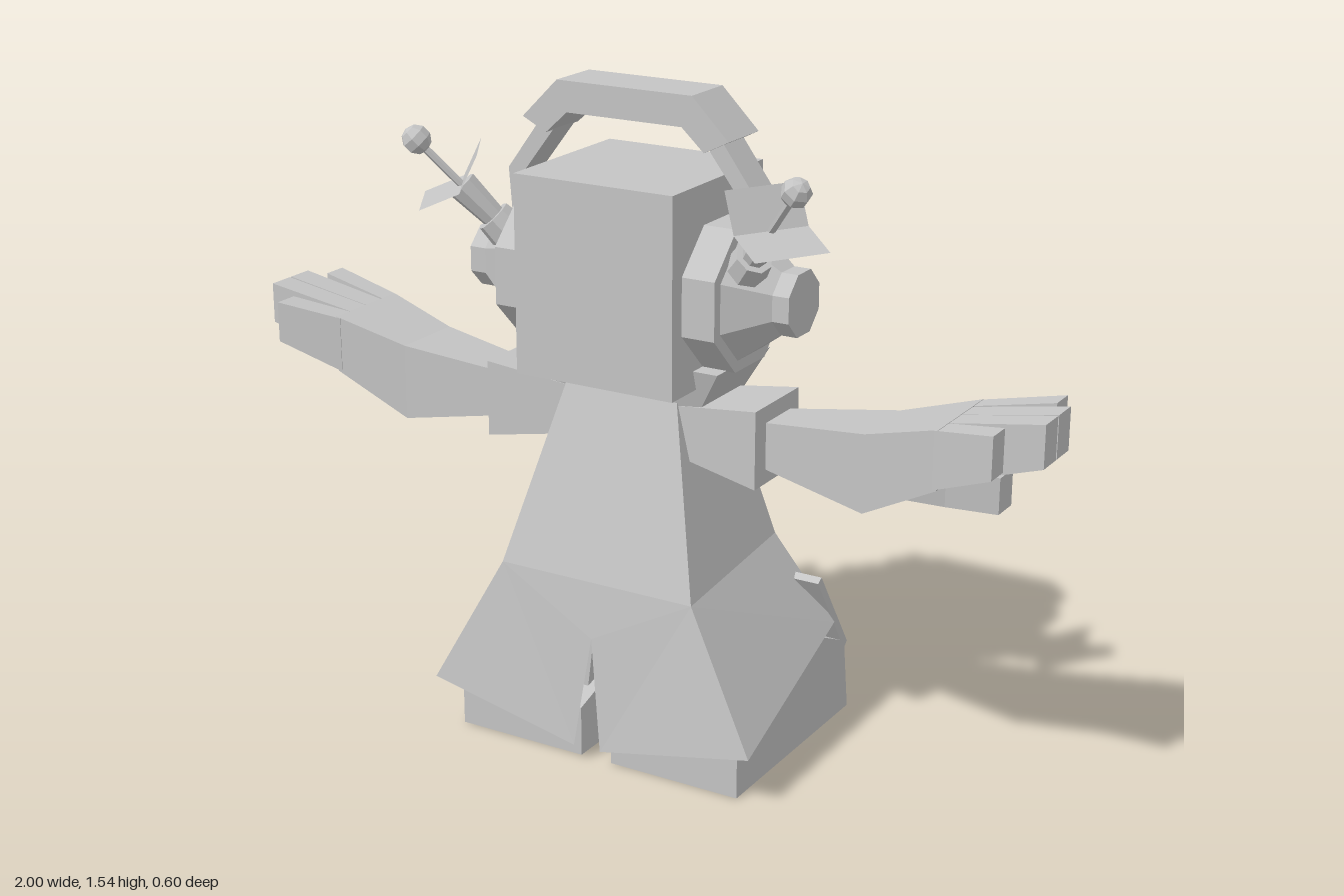
import * as THREE from 'three';

const grey = new THREE.MeshStandardMaterial({ color: 0xc4c4c4 });
grey.name = 'plain grey';
grey.flatShading = true;
const greySheet = grey.clone();
greySheet.name = 'plain grey';
greySheet.side = THREE.DoubleSide;

const V = (x, y, z) => new THREE.Vector3(x, y, z);

// Rectangular cross-sections facing along x or y
const rectX = (x, y0, y1, z0, z1) => [V(x, y0, z0), V(x, y1, z0), V(x, y1, z1), V(x, y0, z1)];
const rectY = (y, x0, x1, z0, z1) => [V(x0, y, z0), V(x1, y, z0), V(x1, y, z1), V(x0, y, z1)];
// Same outline in the y-z plane at a given x
const sliceX = (x, pts) => pts.map(([z, y]) => V(x, y, z));

function fromTriangles(tris) {
  const g = new THREE.BufferGeometry().setFromPoints(tris.flat());
  g.computeVertexNormals();
  return g;
}

// Closed solid through rings of equal size, always wound outward
function loft(...rings) {
  const tris = [];
  const n = rings[0].length;
  for (let r = 0; r + 1 < rings.length; r++) {
    for (let i = 0; i < n; i++) {
      const j = (i + 1) % n, a = rings[r], b = rings[r + 1];
      tris.push([a[i], a[j], b[j]], [a[i], b[j], b[i]]);
    }
  }
  const first = rings[0], last = rings[rings.length - 1];
  for (let i = 1; i + 1 < n; i++) {
    tris.push([first[0], first[i + 1], first[i]], [last[0], last[i], last[i + 1]]);
  }
  const c = first[0];
  const volume = tris.reduce((s, [p, q, t]) =>
    s + p.clone().sub(c).dot(q.clone().sub(c).cross(t.clone().sub(c))), 0);
  return fromTriangles(volume < 0 ? tris.map(([p, q, t]) => [p, t, q]) : tris);
}

// Open sheet from flat polygons
function sheet(...polys) {
  const tris = [];
  for (const p of polys) for (let i = 1; i + 1 < p.length; i++) tris.push([p[0], p[i], p[i + 1]]);
  return fromTriangles(tris);
}

// Mirrored copy across x with corrected winding
function mirrored(geo) {
  const g = geo.index ? geo.toNonIndexed() : geo.clone();
  g.scale(-1, 1, 1);
  const p = g.attributes.position;
  for (let i = 0; i < p.count; i += 3) {
    const a = V().fromBufferAttribute(p, i + 1), b = V().fromBufferAttribute(p, i + 2);
    p.setXYZ(i + 1, b.x, b.y, b.z);
    p.setXYZ(i + 2, a.x, a.y, a.z);
  }
  g.computeVertexNormals();
  return g;
}

// Eight-sided drum along x
function drum(x0, x1, r0, r1) {
  const ring = (x, r) => Array.from({ length: 8 }, (_, i) => {
    const a = (i + 0.5) * Math.PI / 4, k = r / Math.cos(Math.PI / 8);
    return V(x, 1.108 + k * Math.sin(a), 0.05 + k * Math.cos(a));
  });
  return loft(ring(x0, r0), ring(x1, r1));
}

export function createModel() {
  const model = new THREE.Group();
  const add = (name, geo, mat = grey) => {
    const m = new THREE.Mesh(geo, mat);
    m.name = name;
    model.add(m);
  };
  const pair = (name, geo, mat = grey) => {
    add('left ' + name, geo, mat);
    add('right ' + name, mirrored(geo), mat);
  };
  const box = (w, h, d, x, y, z) => new THREE.BoxGeometry(w, h, d).translate(x, y, z);

  // Head with face panel and collar
  add('head', box(0.4, 0.455, 0.395, 0, 1.132, 0.0525));
  add('face panel', box(0.36, 0.4, 0.016, 0, 1.13, -0.152));
  add('collar', loft(rectY(0.85, -0.2, 0.2, -0.07, 0.13), rectY(0.95, -0.26, 0.26, -0.08, 0.16)));

  // Torso
  add('torso', loft(
    [V(-0.25, 0.48, -0.14), V(0.25, 0.48, -0.14), V(0.25, 0.44, 0.25), V(-0.25, 0.44, 0.25)],
    rectY(0.86, -0.145, 0.145, -0.075, 0.135)));

  // Headphones
  pair('ear pad', drum(0.19, 0.28, 0.16, 0.16));
  pair('ear cup', drum(0.28, 0.37, 0.135, 0.07));
  pair('ear hub', drum(0.37, 0.41, 0.07, 0.07));
  const bandRing = (outer, inner, z0, z1) => {
    const [ox, oy] = outer, [ix, iy] = inner;
    return [V(ox, oy, z0), V(ox, oy, z1), V(ix, iy, z1), V(ix, iy, z0)];
  };
  const top = [[0.26, 1.455], [0.17, 1.545], [-0.17, 1.545], [-0.26, 1.455]];
  const under = [[0.2, 1.425], [0.145, 1.475], [-0.145, 1.475], [-0.2, 1.425]];
  add('headband', loft(...top.map((p, i) => bandRing(p, under[i], -0.012, 0.12))));
  pair('headband arm', loft(
    bandRing([0.225, 1.455], [0.195, 1.43], 0.008, 0.094),
    bandRing([0.318, 1.328], [0.283, 1.315], 0.008, 0.094),
    bandRing([0.308, 1.2], [0.275, 1.2], 0.008, 0.094)));

  // Antennae, built along y and then tilted outward
  const axis = V(0.17, 0.21, 0.105).normalize();
  const across = V(axis.z, 0, -axis.x).normalize();
  const tilt = new THREE.Matrix4().makeBasis(across, axis, across.clone().cross(axis))
    .setPosition(0.305, 1.185, 0.118);
  const antenna = (name, geo, mat) => pair(name, geo.applyMatrix4(tilt), mat);
  const rod = (r0, r1, y0, y1, n) =>
    new THREE.CylinderGeometry(r1, r0, y1 - y0, n).translate(0, (y0 + y1) / 2, 0);
  antenna('antenna collar', rod(0.05, 0.042, -0.02, 0.05, 8));
  antenna('antenna post', rod(0.028, 0.036, 0.05, 0.15, 8));
  antenna('antenna rod', rod(0.009, 0.009, 0.15, 0.28, 6));
  antenna('antenna ball', new THREE.SphereGeometry(0.034, 7, 5).translate(0, 0.292, 0));
  const h = 0.09;
  antenna('antenna dish', sheet(
    [V(-h, 0.15, 0), V(h, 0.15, 0), V(h, 0.185, h), V(-h, 0.185, h)],
    [V(-h, 0.15, 0), V(h, 0.15, 0), V(h, 0.185, -h), V(-h, 0.185, -h)]), greySheet);

  // Arms and hands
  pair('sleeve', loft(rectX(0.12, 0.74, 0.85, -0.04, 0.13), rectX(0.35, 0.7, 0.88, -0.05, 0.15)));
  pair('forearm', loft(
    rectX(0.34, 0.735, 0.84, -0.01, 0.1),
    rectX(0.6, 0.69, 0.87, -0.05, 0.13),
    rectX(0.78, 0.785, 0.92, -0.075, 0.155)));
  const fingers = [
    [-0.075, -0.025, -0.1, -0.04, 0.96], [-0.02, 0.038, -0.015, 0.05, 1],
    [0.04, 0.1, 0.055, 0.12, 1], [0.1, 0.155, 0.14, 0.2, 0.92]];
  for (const [a0, a1, b0, b1, tip] of fingers) {
    const rise = (tip - 0.77) * 0.19;
    pair('finger', loft(
      rectX(0.77, 0.785, 0.917, a0, a1),
      rectX(tip, 0.82 + rise, 0.917 + rise, b0, b1)));
  }
  pair('thumb', loft(
    rectX(0.56, 0.7, 0.78, -0.05, 0.04),
    rectX(0.71, 0.665, 0.765, -0.135, -0.055),
    rectX(0.82, 0.655, 0.74, -0.165, -0.095)));

  // Split coat skirt, open at the back
  pair('coat skirt', sheet(
    [V(0.25, 0.44, 0.25), V(0, 0.44, 0.25), V(0, 0.31, 0.267), V(0.035, 0.045, 0.29), V(0.42, 0.125, 0.29)],
    [V(0.25, 0.44, 0.25), V(0.42, 0.125, 0.29), V(0.38, 0.26, -0.2), V(0.25, 0.48, -0.14)]), greySheet);

  // Legs and boots
  pair('leg', loft(rectY(0.1, 0.07, 0.32, -0.13, 0.18), rectY(0.5, 0.02, 0.2, -0.1, 0.18)));
  const boot = [[0.25, 0], [0.25, 0.12], [-0.145, 0.24], [-0.275, 0.18], [-0.3, 0]];
  pair('boot', loft(sliceX(0.04, boot), sliceX(0.37, boot)));
  const flap = [[-0.13, 0.38], [-0.147, 0.39], [-0.29, 0.175], [-0.275, 0.16]];
  pair('boot flap', loft(sliceX(0.06, flap), sliceX(0.37, flap)));
  const strap = [[-0.268, 0.225], [-0.285, 0.22], [-0.297, 0.19], [-0.28, 0.19]];
  pair('boot strap', loft(sliceX(0.1, strap), sliceX(0.33, strap)));

  // Knob and hanging strap on one side of the chest
  add('knob', new THREE.CylinderGeometry(0.056, 0.056, 0.05, 8)
    .rotateX(Math.PI / 2 - 0.15).translate(0.16, 0.445, -0.16));
  add('chest strap', sheet(
    [V(0.06, 0.82, -0.115), V(0.11, 0.82, -0.115), V(0.19, 0.47, -0.16), V(0.13, 0.47, -0.16)]), greySheet);

  return model;
}
